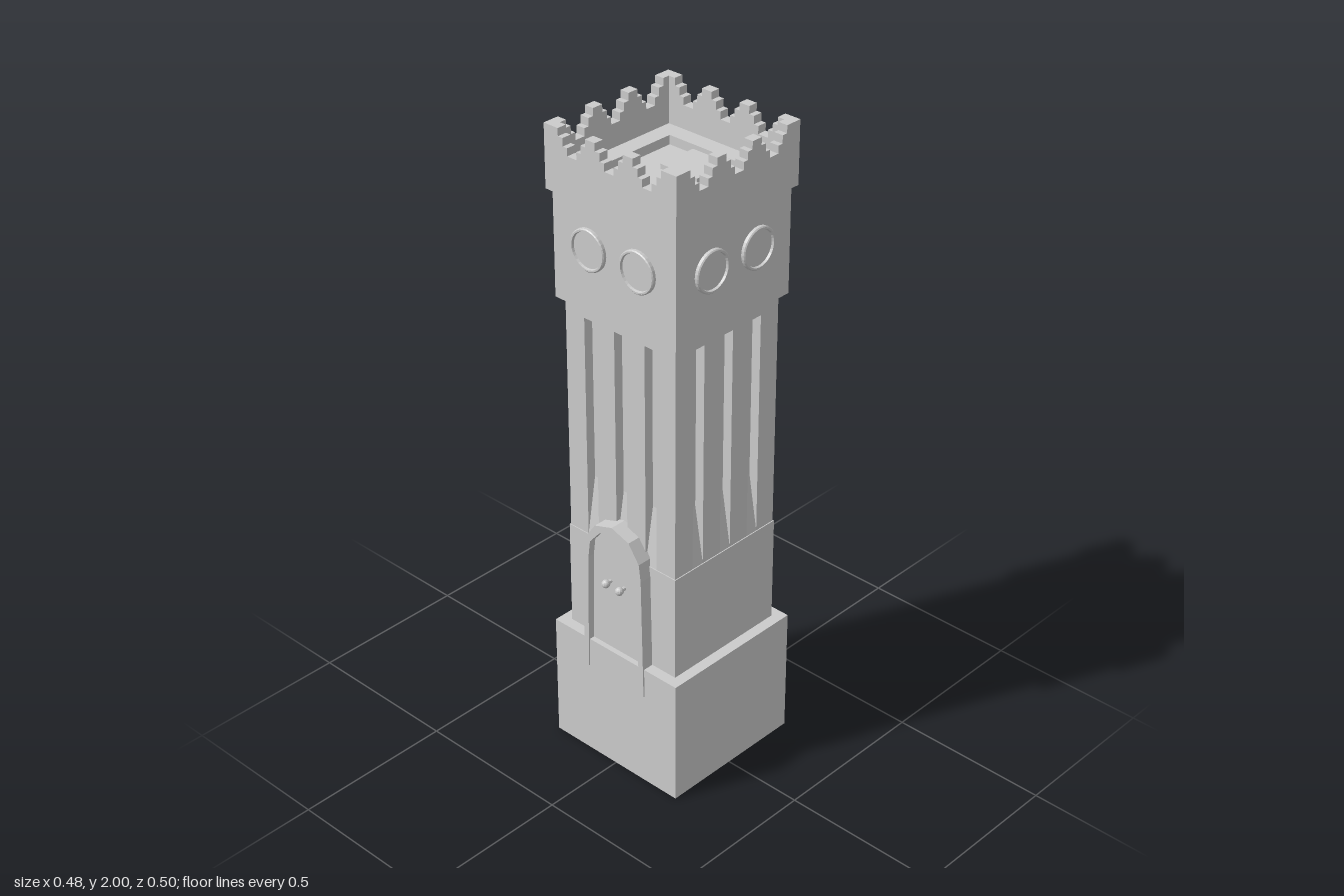
import * as THREE from 'three';

const mat = new THREE.MeshStandardMaterial({ color: 0xcccccc, flatShading: true, side: THREE.DoubleSide });

function add(parent, name, geo, x = 0, y = 0, z = 0) {
  const m = new THREE.Mesh(geo, mat);
  m.name = name;
  m.position.set(x, y, z);
  parent.add(m);
  return m;
}

// Square block of half-width r between two heights
function block(parent, name, r, y0, y1) {
  return add(parent, name, new THREE.BoxGeometry(2 * r, y1 - y0, 2 * r), 0, (y0 + y1) / 2, 0);
}

const shapeOf = pts => new THREE.Shape(pts.map(p => new THREE.Vector2(p[0], p[1])));
const extrude = (shape, depth) => new THREE.ExtrudeGeometry(shape, { depth, bevelEnabled: false });

// Repeat a builder on all four sides
function fourSides(parent, name, build) {
  for (let i = 0; i < 4; i++) {
    const side = new THREE.Group();
    side.name = name;
    side.rotation.y = i * Math.PI / 2;
    build(side);
    parent.add(side);
  }
}

const SLOTS = [-0.113, 0, 0.113], SLOT_W = 0.021, SLOT_D = 0.03;

// Square cross-section with three notches per side
function slottedSection(r) {
  const pts = [];
  for (let i = 0; i < 4; i++) {
    const c = Math.round(Math.cos(i * Math.PI / 2)), s = Math.round(Math.sin(i * Math.PI / 2));
    const put = (u, v) => pts.push([u * c - v * s, u * s + v * c]);
    put(-r, -r);
    for (const x of SLOTS) {
      put(x - SLOT_W, -r);
      put(x - SLOT_W, -r + SLOT_D);
      put(x + SLOT_W, -r + SLOT_D);
      put(x + SLOT_W, -r);
    }
  }
  return shapeOf(pts);
}

// Arched outline, narrowing slightly upward
function archPoints(inset, y0) {
  const half = [[0.12, y0], [0.112, 0.71], [0.105, 0.765], [0.066, 0.82], [0, 0.842]]
    .map(([x, y], i) => [Math.max(0, x - inset), i ? y - inset * (i > 2 ? 1 : 0.5) : y]);
  const mirrored = half.slice(0, -1).reverse().map(([x, y]) => [-x, y]);
  return [...half, ...mirrored];
}

export function createModel() {
  const root = new THREE.Group();
  root.name = 'clockTower';
  const tower = new THREE.Group();
  tower.name = 'tower';
  tower.position.z = -0.009;
  root.add(tower);

  // Hollow plinth, open underneath
  const R = 0.242;
  const plinth = new THREE.LatheGeometry(
    [[R, 0], [R, 0.405], [0, 0.405]].map(([x, y]) => new THREE.Vector2(x * Math.SQRT2, y)),
    4, Math.PI / 4).toNonIndexed();
  plinth.computeVertexNormals();
  add(tower, 'plinth', plinth);
  const ceiling = add(tower, 'plinthCeiling', new THREE.PlaneGeometry(2 * R, 2 * R), 0, 0.27, 0);
  ceiling.rotation.x = Math.PI / 2;

  // Shaft: plain foot, slotted middle, plain collar
  const r = 0.205;
  block(tower, 'shaftFoot', 0.208, 0.4, 0.742);
  const slotted = extrude(slottedSection(r), 1.445 - 0.74);
  slotted.rotateX(-Math.PI / 2);
  add(tower, 'slottedShaft', slotted, 0, 0.74, 0);
  block(tower, 'shaftCollar', r, 1.445, 1.486);

  // Sloping sills at the bottom of each slot
  fourSides(tower, 'slotSills', side => {
    for (const x of SLOTS) {
      const sill = extrude(shapeOf([[0, 0], [SLOT_D, 0], [0, 0.18]]), 2 * SLOT_W);
      sill.rotateY(-Math.PI / 2);
      add(side, 'slotSill', sill, x + SLOT_W, 0.742, r - SLOT_D);
    }
  });

  // Clock chamber with two round dials per side
  block(tower, 'clockChamber', 0.224, 1.485, 1.812);
  fourSides(tower, 'dials', side => {
    for (const x of [-0.09, 0.09]) {
      const rim = new THREE.LatheGeometry(
        [[0.063, 0], [0.063, 0.009], [0.06, 0.012], [0.055, 0.012], [0.053, 0.005], [0, 0.005]]
          .map(p => new THREE.Vector2(...p)), 32);
      rim.rotateX(Math.PI / 2);
      add(side, 'dial', rim, x, 1.675, 0.224);
    }
  });

  // Parapet with three stepped notches per side
  const P = 0.237, top = 2, base = 1.81;
  const edge = [[-P, base], [P, base], [P, top]];
  const steps = [[0.05, 2], [0.05, 1.977], [0.033, 1.977], [0.033, 1.953], [0.017, 1.953], [0.017, 1.93]];
  for (const cx of [0.135, 0, -0.135]) {
    for (const [d, y] of steps) edge.push([cx + d, y]);
    for (const [d, y] of [...steps].reverse()) edge.push([cx - d, y]);
  }
  edge.push([-P, top]);
  fourSides(tower, 'parapetSide', side => {
    add(side, 'parapetWall', extrude(shapeOf(edge), 0.03), 0, 0, P - 0.03);
  });

  // Roof deck with a sunken middle and a hatch
  const square = h => [[-h, -h], [h, -h], [h, h], [-h, h]];
  const deckShape = shapeOf(square(0.21));
  deckShape.holes.push(shapeOf(square(0.153)));
  const deck = extrude(deckShape, 0.05);
  deck.rotateX(-Math.PI / 2);
  add(tower, 'roofDeck', deck, 0, 1.81, 0);
  block(tower, 'sunkenRoof', 0.153, 1.81, 1.832);
  add(tower, 'roofHatch', new THREE.BoxGeometry(0.134, 0.015, 0.128), 0, 1.839, -0.089);

  // Arched doorway: raised frame, set-back door and two knobs
  const door = new THREE.Group();
  door.name = 'doorway';
  root.add(door);
  const frame = shapeOf([...archPoints(0, 0.31), ...archPoints(0.018, 0.31).reverse()]);
  add(door, 'doorFrame', extrude(frame, 0.053), 0, 0, 0.185);
  add(door, 'doorPanel', extrude(shapeOf(archPoints(0.016, 0.4)), 0.03), 0, 0, 0.186);
  for (const x of [-0.027, 0.027]) {
    add(door, 'doorKnob', new THREE.SphereGeometry(0.013, 10, 8), x, 0.638, 0.237);
    const stem = new THREE.CylinderGeometry(0.006, 0.006, 0.026, 8);
    stem.rotateX(Math.PI / 2);
    add(door, 'knobStem', stem, x, 0.638, 0.225);
  }
  return root;
}
